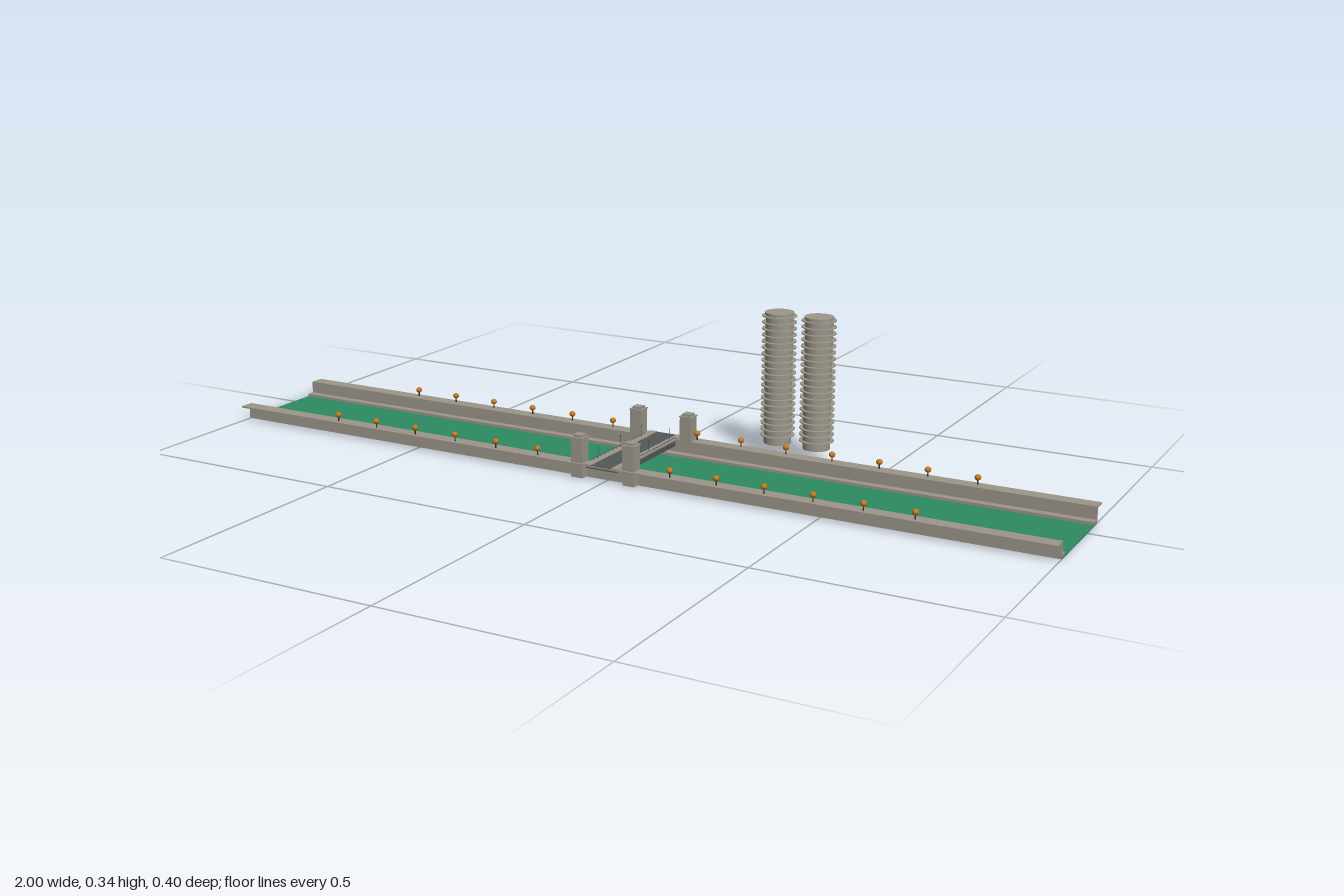
import * as THREE from 'three';

const paint = (name, color) => {
  const m = new THREE.MeshStandardMaterial({ color });
  m.name = name;
  return m;
};

export function createModel() {
  const stone = paint('stone', 0x9c968a);
  const water = paint('water', 0x2e8b62);
  const steel = paint('steel', 0x525859);
  const bark = paint('bark', 0x3d3229);
  const foliage = paint('foliage', 0xc47a1c);

  const model = new THREE.Group();
  const MID = 0.0505; // river centre line in z

  const add = (name, geo, mat, x, y, z, parent = model) => {
    const mesh = new THREE.Mesh(geo, mat);
    mesh.name = name;
    mesh.position.set(x, y, z);
    parent.add(mesh);
    return mesh;
  };
  // Box given by its ranges along each axis
  const box = (name, mat, [x0, x1], [y0, y1], [z0, z1], parent) =>
    add(name, new THREE.BoxGeometry(x1 - x0, y1 - y0, Math.abs(z1 - z0)), mat,
      (x0 + x1) / 2, (y0 + y1) / 2, (z0 + z1) / 2, parent);

  // River
  box('river', water, [-1, 1], [0, 0.003], [MID - 0.118, MID + 0.118]);

  // Banks: low walk, retaining wall and overhanging street slab
  for (const s of [1, -1]) {
    const bank = new THREE.Group();
    bank.name = s > 0 ? 'frontBank' : 'backBank';
    model.add(bank);
    box('riverWalk', stone, [-1, 1], [0.003, 0.009], [MID + s * 0.097, MID + s * 0.115], bank);
    box('retainingWall', stone, [-1, 1], [0.001, 0.034], [MID + s * 0.115, MID + s * 0.121], bank);
    box('streetSlab', stone, [-1, 1], [0.033, 0.0365], [MID + s * 0.115, MID + s * 0.148], bank);
  }

  // Street trees, leaving a gap at the bridge
  const trunkGeo = new THREE.CylinderGeometry(0.0012, 0.0015, 0.012, 6);
  const crownGeo = new THREE.SphereGeometry(0.0072, 12, 8);
  crownGeo.scale(1, 0.9, 1);
  const rows = [
    { start: -0.716, z: 0.187, skip: [6, 7] },
    { start: -0.684, z: -0.085, skip: [6] },
  ];
  for (const { start, z, skip } of rows) {
    for (let i = 0; i < 14; i++) {
      if (skip.includes(i)) continue;
      const x = start + i * 0.1097;
      add('treeTrunk', trunkGeo, bark, x, 0.042, z);
      add('treeCrown', crownGeo, foliage, x, 0.052, z);
    }
  }

  // Bridge
  const bridge = new THREE.Group();
  bridge.name = 'bridge';
  model.add(bridge);
  const span = [MID - 0.147, MID + 0.147];
  const clear = [MID - 0.115, MID + 0.115];
  box('roadDeck', steel, [-0.038, 0.038], [0.03, 0.0375], span, bridge);
  for (const s of [1, -1]) {
    const across = (a, b) => [s * a, s * b].sort((p, q) => p - q);
    box('girder', steel, across(0.034, 0.04), [0.022, 0.035], clear, bridge);
    box('sidewalk', stone, across(0.025, 0.042), [0.035, 0.0385], span, bridge);
    box('handrail', steel, across(0.0385, 0.0395), [0.0408, 0.0418], clear, bridge);
    for (let i = 0; i <= 14; i++) {
      const z = clear[0] + 0.001 + (i * 0.228) / 14;
      box('railPost', steel, across(0.0386, 0.0394), [0.038, 0.041], [z - 0.0004, z + 0.0004], bridge);
    }
    for (const z of [0.147, 0.052, -0.044]) {
      add('lampPole', new THREE.CylinderGeometry(0.0006, 0.0006, 0.029, 6), steel,
        s * 0.036, 0.052, z, bridge);
    }
  }

  // Four bridge houses at the corners
  for (const sx of [1, -1]) {
    for (const sz of [1, -1]) {
      const house = new THREE.Group();
      house.name = 'bridgeHouse';
      house.position.set(sx * 0.064, 0, MID + sz * 0.129);
      model.add(house);
      const tier = (name, w, y0, y1) =>
        box(name, stone, [-w / 2, w / 2], [y0, y1], [-w / 2, w / 2], house);
      tier('houseBody', 0.028, 0.003, 0.09);
      tier('houseCornice', 0.031, 0.09, 0.093);
      tier('houseRoof', 0.021, 0.093, 0.098);
    }
  }

  // Twin round towers with balcony rings
  const shaftGeo = new THREE.CylinderGeometry(0.0305, 0.0305, 0.296, 32);
  const ringGeo = new THREE.CylinderGeometry(0.0385, 0.0385, 0.002, 32);
  const capGeo = new THREE.CylinderGeometry(0.0325, 0.0325, 0.004, 32);
  for (const x of [0.247, 0.342]) {
    const tower = new THREE.Group();
    tower.name = 'roundTower';
    tower.position.set(x, 0, -0.16);
    model.add(tower);
    add('towerShaft', shaftGeo, stone, 0, 0.184, 0, tower);
    add('towerCap', capGeo, stone, 0, 0.333, 0, tower);
    for (let i = 0; i < 20; i++) {
      add('balconyRing', ringGeo, stone, 0, 0.055 + i * 0.0143, 0, tower);
    }
  }

  return model;
}
